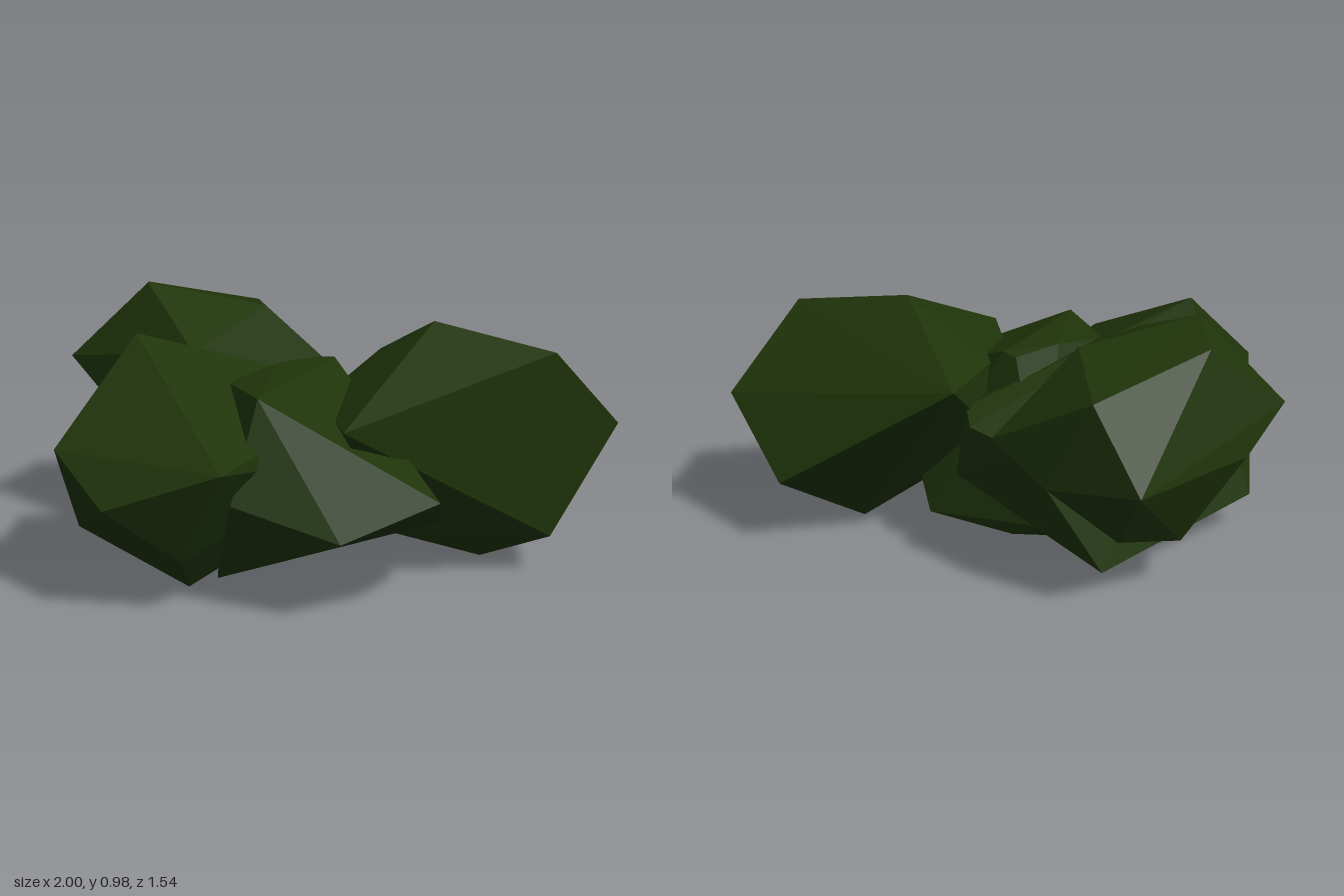
import * as THREE from 'three';
import { ConvexGeometry } from 'three/addons/geometries/ConvexGeometry.js';

// Each leafy clump is a faceted convex lobe, given by its corner points.
const lobes = {
  leftClump: [
    [0.34, 0.93, 0.21], [0.73, 0.86, 0.42], [1, 0.55, 0.29], [0.84, 0.28, 0.04],
    [0.75, 0.15, 0.35], [0.52, 0.04, 0.23], [0.22, 0.71, -0.22], [-0.04, 0.67, 0.62],
    [0.05, 0.7, 0.08], [-0.05, 0.64, 0.3], [0.06, 0.45, 0.06], [0.17, 0.19, 0.33],
  ],
  backClump: [
    [-0.64, 0.98, -0.27], [-0.21, 0.88, -0.27], [-0.63, 0.93, -0.48], [-0.2, 0.81, -0.62],
    [-0.34, 0.52, -0.77], [0.1, 0.57, -0.31], [-0.06, 0.46, -0.52], [-0.5, 0.81, 0.09],
    [-0.93, 0.68, -0.38], [-0.77, 0.53, -0.5], [-0.8, 0.55, -0.22],
    [-0.3, 0.28, -0.6], [-0.56, 0.19, -0.44],
  ],
  rightClump: [
    [-1, 0.57, 0.37], [-0.93, 0.14, 0], [-0.7, 0.9, 0.12], [-0.85, 0.42, 0.59],
    [-0.46, 0.58, 0.74], [-0.59, 0.21, 0.56], [-0.55, 0.02, 0.33], [-0.3, 0.02, -0.33],
    [-0.33, 0, 0], [0, 0.52, -0.32], [0.16, 0.56, -0.18], [0.16, 0.6, -0.08],
    [0.2, 0.34, -0.09],
  ],
  frontClump: [
    [-0.07, 0.33, 0.77], [0.27, 0.45, 0.74], [0.32, 0.29, 0.5], [0.31, 0.27, 0.2],
    [0.28, 0.1, 0.1], [0, 0.1, -0.13], [-0.1, 0.18, -0.25], [0.05, 0.27, -0.08],
    [-0.33, 0, 0], [-0.45, 0.06, 0.36], [-0.42, 0.42, 0.6], [-0.31, 0.75, 0.46],
    [-0.39, 0.73, 0.19], [-0.2, 0.76, 0.08], [-0.03, 0.75, -0.01], [0.01, 0.76, 0.03],
    [0.05, 0.66, 0.08],
  ],
};

export function createModel() {
  const leaf = new THREE.MeshStandardMaterial({ color: 0x1f340a, flatShading: true });
  leaf.name = 'dark leaf green';

  const bush = new THREE.Group();
  bush.name = 'bush';
  for (const [name, corners] of Object.entries(lobes)) {
    const geometry = new ConvexGeometry(corners.map((p) => new THREE.Vector3(...p)));
    const mesh = new THREE.Mesh(geometry, leaf);
    mesh.name = name;
    bush.add(mesh);
  }
  return bush;
}
